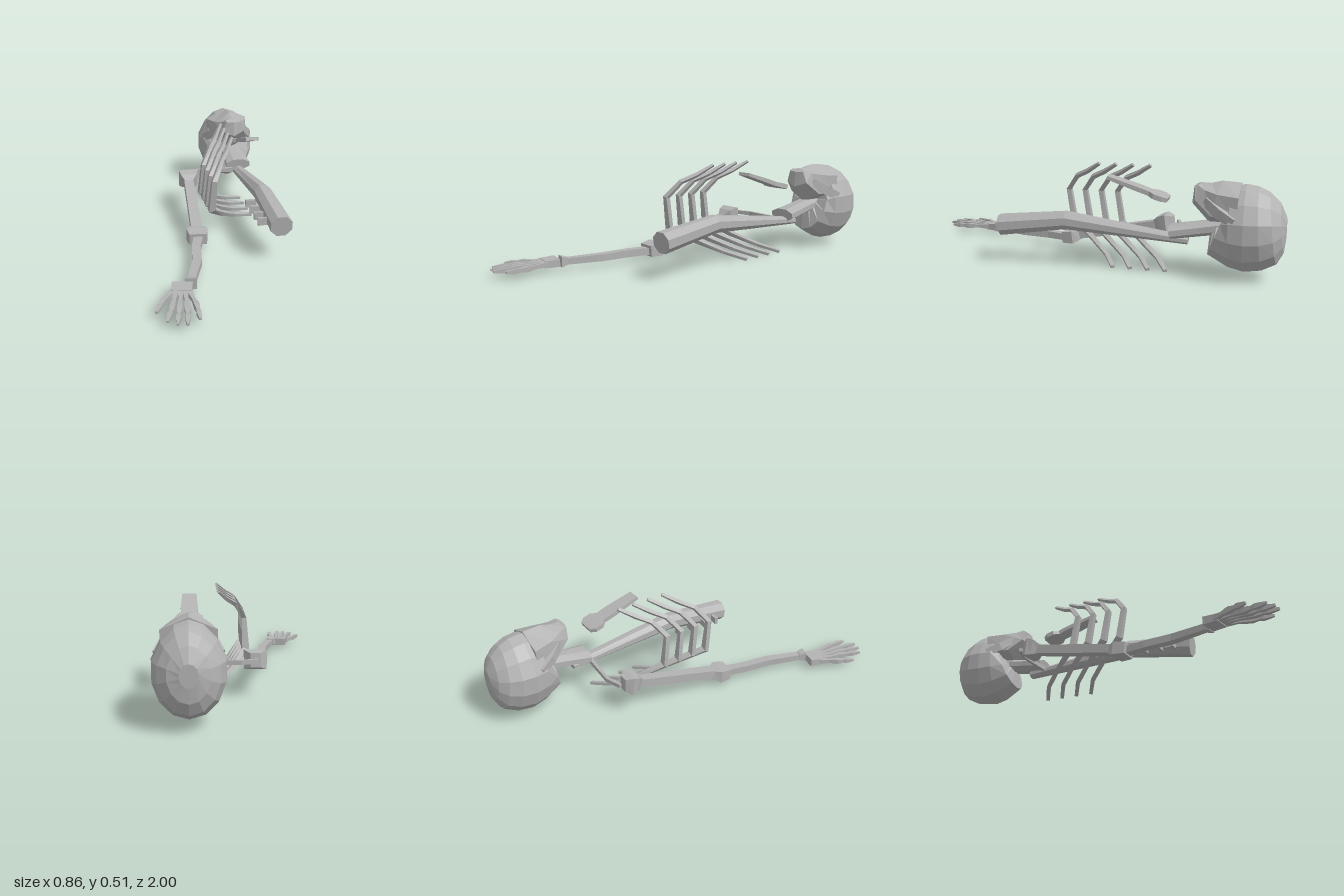
import * as THREE from 'three';

const bone = new THREE.MeshStandardMaterial({ color: 0xb2b2b2, flatShading: true });
bone.name = 'boneGrey';
const V = (x, y, z) => new THREE.Vector3(x, y, z);

// Skin a polygon section along stations [x, y, z, halfWidth, halfHeight]; ref is the section's "up".
function limb(name, stations, sides = 4, ref = V(0, 1, 0), warp = null) {
  const pts = stations.map((s) => V(s[0], s[1], s[2]));
  const n = pts.length, pos = [], index = [];
  const grow = 1 / Math.cos(Math.PI / sides);
  pts.forEach((p, k) => {
    const t = pts[Math.min(k + 1, n - 1)].clone().sub(pts[Math.max(k - 1, 0)]).normalize();
    const side = ref.clone().cross(t).normalize();
    const up = t.clone().cross(side);
    for (let i = 0; i < sides; i++) {
      const a = ((i + 0.5) / sides) * Math.PI * 2;
      const q = p.clone()
        .addScaledVector(side, Math.cos(a) * stations[k][3] * grow)
        .addScaledVector(up, Math.sin(a) * stations[k][4] * grow);
      if (warp) warp(q);
      pos.push(q.x, q.y, q.z);
    }
  });
  for (let k = 0; k < n - 1; k++) {
    for (let i = 0; i < sides; i++) {
      const a = k * sides + i, b = k * sides + ((i + 1) % sides);
      index.push(a, b, b + sides, a, b + sides, a + sides);
    }
  }
  const last = (n - 1) * sides;
  for (let i = 1; i < sides - 1; i++) index.push(0, i + 1, i, last, last + i, last + i + 1);
  const geo = new THREE.BufferGeometry();
  geo.setAttribute('position', new THREE.Float32BufferAttribute(pos, 3));
  geo.setIndex(index);
  const flat = geo.toNonIndexed();
  flat.computeVertexNormals();
  const mesh = new THREE.Mesh(flat, bone);
  mesh.name = name;
  return mesh;
}

function createSkull() {
  const g = new THREE.Group();
  g.name = 'skull';
  const C = 0.265;
  // Cranium: egg-shaped, narrower towards the face, with a hollowed base
  g.add(limb('cranium', [
    [C, 0.27, -0.725, 0.035, 0.04], [C, 0.25, -0.69, 0.118, 0.148], [C, 0.25, -0.74, 0.15, 0.192],
    [C, 0.248, -0.81, 0.162, 0.208], [C, 0.25, -0.88, 0.157, 0.198], [C, 0.256, -0.94, 0.133, 0.17],
    [C, 0.262, -0.98, 0.092, 0.118], [C, 0.262, -1.0, 0.04, 0.05],
  ].map((s, k) => (k ? s : [C, 0.27, -0.689, 0.035, 0.04])), 14, V(0, 1, 0), (q) => {
    q.x = C + (q.x - C) * (1 - Math.max(0, q.y - 0.3) * 0.9);
  }));
  // Face and jaw, reaching up from the cranium
  g.add(limb('face', [
    [C, 0.448, -0.58, 0.045, 0.015], [C, 0.408, -0.6, 0.066, 0.058],
    [C, 0.368, -0.67, 0.098, 0.093], [C, 0.36, -0.78, 0.125, 0.092],
  ], 6));
  for (const s of [-1, 1]) {
    g.add(limb('cheekbone', [
      [C + s * 0.062, 0.385, -0.63, 0.018, 0.02], [C + s * 0.105, 0.335, -0.70, 0.022, 0.025],
      [C + s * 0.14, 0.30, -0.77, 0.015, 0.02],
    ]));
  }
  g.add(limb('palate', [[C, 0.32, -0.64, 0.022, 0.03], [C, 0.31, -0.72, 0.04, 0.04]]));
  return g;
}

function createArm() {
  const g = new THREE.Group();
  g.name = 'arm';
  // Upper arm: faceted shoulder head, shaft and elbow block
  g.add(limb('shoulderHead', [
    [-0.052, 0.185, -0.415, 0.025, 0.035], [-0.052, 0.182, -0.38, 0.055, 0.048],
    [-0.055, 0.175, -0.345, 0.045, 0.042], [-0.06, 0.165, -0.315, 0.022, 0.024],
  ]));
  g.add(limb('upperArm', [
    [-0.058, 0.17, -0.34, 0.026, 0.024], [-0.08, 0.12, -0.1, 0.028, 0.024],
    [-0.103, 0.07, 0.14, 0.03, 0.022],
  ]));
  g.add(limb('elbow', [
    [-0.1, 0.07, 0.11, 0.03, 0.022], [-0.104, 0.062, 0.145, 0.056, 0.034], [-0.11, 0.056, 0.208, 0.046, 0.03],
  ]));
  g.add(limb('forearm', [
    [-0.108, 0.053, 0.2, 0.024, 0.018], [-0.14, 0.053, 0.31, 0.022, 0.019],
    [-0.165, 0.052, 0.46, 0.023, 0.018], [-0.23, 0.05, 0.65, 0.018, 0.016],
  ]));
  g.add(limb('wrist', [[-0.225, 0.052, 0.635, 0.02, 0.018], [-0.235, 0.052, 0.668, 0.027, 0.027]]));
  g.add(limb('palm', [[-0.273, 0.045, 0.662, 0.048, 0.02], [-0.292, 0.043, 0.735, 0.046, 0.017]]));
  // Fingers: [base, knuckle, tip] as x, z pairs, swelling at the joints
  const fingers = [
    [-0.325, 0.71, -0.382, 0.79, -0.425, 0.875], [-0.315, 0.725, -0.35, 0.85, -0.39, 0.96],
    [-0.293, 0.73, -0.322, 0.87, -0.352, 0.99], [-0.272, 0.735, -0.29, 0.88, -0.31, 1.0],
    [-0.253, 0.735, -0.244, 0.86, -0.25, 0.965],
  ];
  for (const [x0, z0, x1, z1, x2, z2] of fingers) {
    const at = (u, w) => {
      const [ax, az, bx, bz, t] = u < 0.5 ? [x0, z0, x1, z1, u * 2] : [x1, z1, x2, z2, u * 2 - 1];
      return [ax + (bx - ax) * t, 0.044 - 0.002 * u, az + (bz - az) * t, w, w * 1.1];
    };
    g.add(limb('finger', [at(0, 0.013), at(0.25, 0.008), at(0.47, 0.012), at(0.53, 0.012),
      at(0.66, 0.008), at(0.77, 0.011), at(0.9, 0.008), at(1, 0.005)]));
  }
  return g;
}

function createRibcage() {
  const g = new THREE.Group();
  g.name = 'ribcage';
  // Four matching ribs, stepped along the chest
  for (let i = 0; i < 4; i++) {
    const dz = -0.089 * i;
    g.add(limb('rib', [
      [0.27, 0.01, -0.165, 0.007, 0.01], [0.16, 0.042, -0.105, 0.008, 0.011], [0.06, 0.105, 0.005, 0.012, 0.012],
      [-0.02, 0.18, 0.125, 0.019, 0.014], [-0.013, 0.345, 0.15, 0.013, 0.013],
      [0.035, 0.425, 0.09, 0.01, 0.011], [0.08, 0.46, 0.02, 0.009, 0.01], [0.125, 0.508, -0.055, 0.006, 0.008],
    ].map(([x, y, z, w, h]) => [x, y, z + dz, w, h]), 4, V(0, 0, 1)));
  }
  // Breastbone with a wider upper end
  g.add(limb('breastbone', [
    [0.265, 0.466, -0.14, 0.036, 0.008], [0.265, 0.418, -0.29, 0.042, 0.011], [0.265, 0.398, -0.35, 0.04, 0.011],
    [0.265, 0.39, -0.375, 0.066, 0.012], [0.265, 0.378, -0.415, 0.066, 0.012], [0.265, 0.37, -0.44, 0.045, 0.01],
  ]));
  g.add(limb('collarbone', [
    [-0.065, 0.188, -0.437, 0.008, 0.01], [0.02, 0.187, -0.463, 0.009, 0.011],
    [0.12, 0.187, -0.455, 0.009, 0.011], [0.23, 0.187, -0.445, 0.01, 0.012],
  ]));
  return g;
}

function createSpine() {
  const g = new THREE.Group();
  g.name = 'spine';
  g.add(limb('backbone', [
    [0.265, 0.19, 0.435, 0.055, 0.052], [0.265, 0.234, 0.08, 0.046, 0.044], [0.265, 0.172, -0.54, 0.03, 0.019],
  ], 8));
  g.add(limb('neck', [
    [0.265, 0.212, -0.455, 0.071, 0.033], [0.265, 0.235, -0.6, 0.058, 0.034], [0.265, 0.255, -0.72, 0.055, 0.036],
  ], 8));
  // Short stubs along the lower back
  for (const z of [0.1, 0.185, 0.27, 0.345]) {
    g.add(limb('spineStub', [[0.168, 0.188, z, 0.009, 0.02], [0.225, 0.19, z + 0.004, 0.009, 0.018]]));
  }
  return g;
}

export function createModel() {
  const model = new THREE.Group();
  model.name = 'skeleton';
  model.add(createSkull(), createArm(), createRibcage(), createSpine());
  return model;
}
